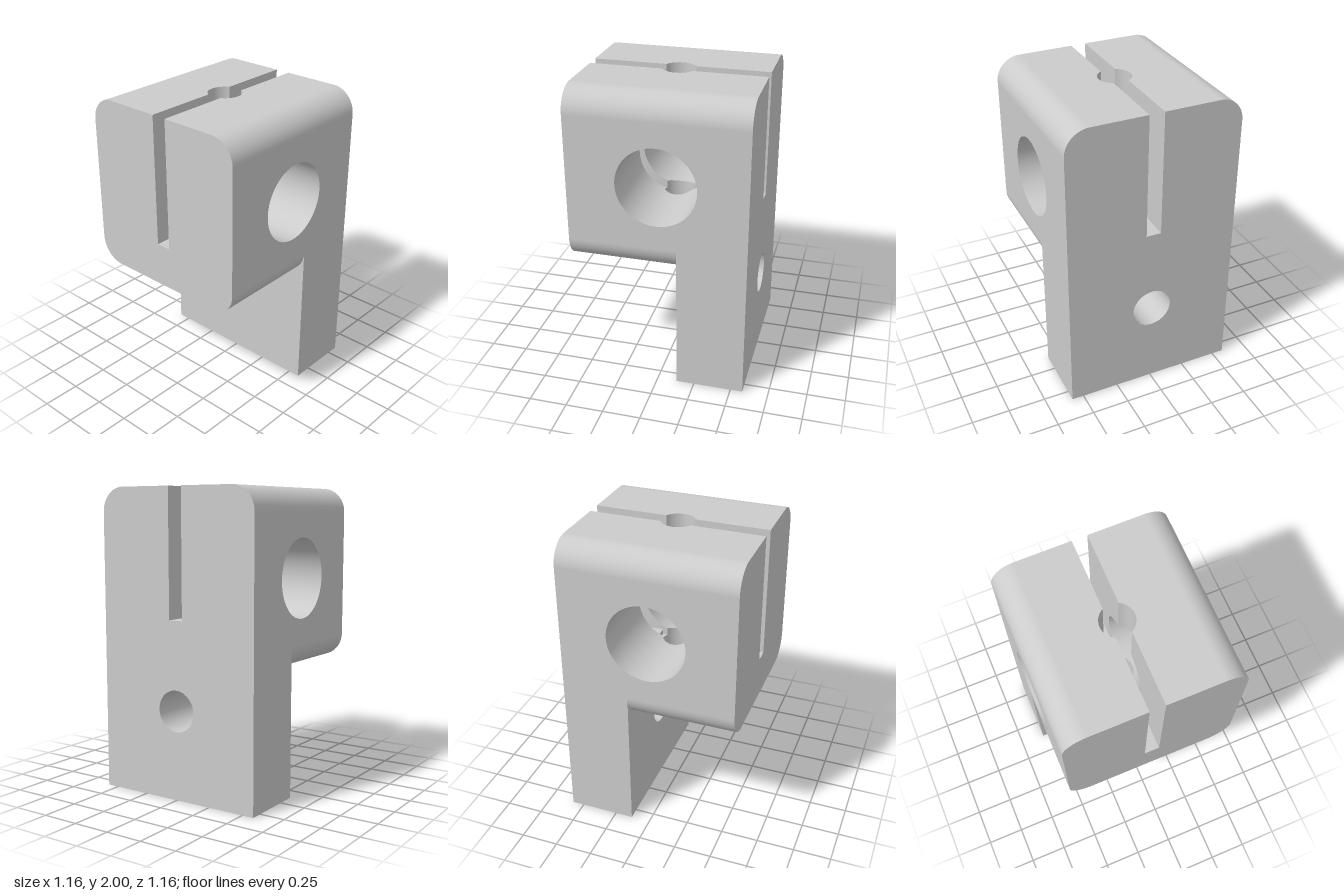
import * as THREE from 'three';

// Overall dimensions
const W = 0.58, TOP = 2, BLOCK_Y = 0.84, PLATE_Z = -0.13, ROUND = 0.16;
const SLOT = 0.05, SLOT_Y = 1.13, SLOT_BACK_Y = 1.165;
const CROSS_R = 0.26, CROSS_Y = 1.42;   // bore along x
const VERT_R = 0.11;                    // bore along y
const SCREW_R = 0.135, SCREW_Y = 0.585; // plate hole along z
const IN = W - ROUND, LOW = BLOCK_Y + ROUND, HIGH = TOP - ROUND;
const SEG = 64, PI = Math.PI;

const material = new THREE.MeshStandardMaterial({ color: 0xcccccc, side: THREE.DoubleSide });

// Outline from points [x, y] and arcs [cx, cy, r, from, to, clockwise]
function outline(...steps) {
  const s = new THREE.Shape();
  steps.forEach((p, i) => {
    if (p.length > 2) s.absarc(...p);
    else if (i === 0) s.moveTo(...p);
    else s.lineTo(...p);
  });
  return s;
}

function rect(x0, y0, x1, y1) {
  return outline([x0, y0], [x1, y0], [x1, y1], [x0, y1]);
}

function withHole(shape, x, y, r) {
  shape.holes.push(new THREE.Path().absarc(x, y, r, 0, 2 * PI, true));
  return shape;
}

// Flat face turned to look along a direction, then moved to its plane
const TURN = {
  front: [0, 0], back: [0, PI], right: [0, PI / 2], left: [0, -PI / 2],
  up: [-PI / 2, 0], down: [PI / 2, 0],
};
function face(shape, dir, x = 0, y = 0, z = 0) {
  const [rx, ry] = TURN[dir];
  return new THREE.ShapeGeometry(shape, SEG / 2).rotateX(rx).rotateY(ry).translate(x, y, z);
}

// Curved band between two edges; edge(angle) returns [pointA, pointB]
function band(from, to, edge) {
  const pos = [], idx = [];
  for (let i = 0; i <= SEG; i++) {
    const [a, b] = edge(from + (to - from) * i / SEG);
    pos.push(...a, ...b);
    if (i < SEG) {
      const k = 2 * i;
      idx.push(k, k + 1, k + 3, k, k + 3, k + 2);
    }
  }
  const g = new THREE.BufferGeometry();
  g.setAttribute('position', new THREE.Float32BufferAttribute(pos, 3));
  g.setIndex(idx);
  g.computeVertexNormals();
  return g;
}

export function createModel() {
  const model = new THREE.Group();
  const block = new THREE.Group(), plate = new THREE.Group();
  block.name = 'clampBlock';
  plate.name = 'mountingPlate';
  model.add(block, plate);

  const add = (parent, name, geometry) => {
    const m = new THREE.Mesh(geometry, material);
    m.name = name;
    parent.add(m);
    return m;
  };
  const addPair = (parent, name, geometry) => {
    add(parent, name + 'Left', geometry);
    add(parent, name + 'Right', geometry).scale.x = -1;
  };

  // Slotted front and back faces
  const slottedTop = floor => [
    [IN, HIGH, ROUND, 0, PI / 2, false], [SLOT, TOP], [SLOT, floor],
    [-SLOT, floor], [-SLOT, TOP], [-IN, HIGH, ROUND, PI / 2, PI, false],
  ];
  add(block, 'blockFront', face(outline(
    [-IN, BLOCK_Y], [IN, BLOCK_Y], [IN, LOW, ROUND, -PI / 2, 0, false],
    ...slottedTop(SLOT_Y), [-W, LOW], [-IN, LOW, ROUND, PI, 1.5 * PI, false]), 'front', 0, 0, W));
  add(plate, 'plateBack', face(withHole(outline(
    [-W, 0], [W, 0], ...slottedTop(SLOT_BACK_Y)), 0, SCREW_Y, SCREW_R), 'back', 0, 0, -W));

  // Plate front below the block, foot, and screw hole
  add(plate, 'plateFront', face(withHole(outline(
    [-W, 0], [W, 0], [W, LOW], [IN, LOW, ROUND, 0, -PI / 2, true],
    [-IN, BLOCK_Y], [-IN, LOW, ROUND, -PI / 2, -PI, true]), 0, SCREW_Y, SCREW_R), 'front', 0, 0, PLATE_Z));
  add(plate, 'plateFoot', face(rect(-W, -W, W, PLATE_Z), 'down'));
  add(plate, 'screwHole', band(0, 2 * PI, t => {
    const x = SCREW_R * Math.cos(t), y = SCREW_Y + SCREW_R * Math.sin(t);
    return [[x, y, -W], [x, y, PLATE_Z]];
  }));

  // Sides with the cross bore opening
  addPair(block, 'side', face(withHole(outline(
    [-W, LOW], [-PLATE_Z, LOW], [-PLATE_Z, 0], [W, 0], [W, HIGH], [-W, HIGH]),
    0, CROSS_Y, CROSS_R), 'right', W));

  // Rounded long edges
  const rounded = (cy, from, to, back) => band(from, to, t => {
    const x = IN + ROUND * Math.cos(t), y = cy + ROUND * Math.sin(t);
    return [[x, y, W], [x, y, back]];
  });
  addPair(block, 'topRound', rounded(HIGH, 0, PI / 2, -W));
  addPair(block, 'bottomRound', rounded(LOW, -PI / 2, 0, PLATE_Z));

  // Top halves notched by the vertical bore, and the underside
  const openAngle = Math.acos(SLOT / VERT_R), notch = VERT_R * Math.sin(openAngle);
  addPair(block, 'top', face(outline(
    [SLOT, -W], [IN, -W], [IN, W], [SLOT, W], [SLOT, notch],
    [0, 0, VERT_R, openAngle, -openAngle, true]), 'up', 0, TOP));
  add(block, 'underside', face(withHole(
    rect(-IN, PLATE_Z, IN, W), 0, 0, VERT_R), 'down', 0, BLOCK_Y));

  // Slot walls, split by the two bores
  const a = Math.acos(notch / CROSS_R);
  addPair(block, 'slotWallFront', face(outline(
    [notch, TOP], [W, TOP], [W, SLOT_Y], [notch, SLOT_Y],
    [0, CROSS_Y, CROSS_R, -a, a, false]), 'left', SLOT));
  addPair(block, 'slotWallBack', face(outline(
    [-notch, TOP], [-W, TOP], [-W, SLOT_BACK_Y], [PLATE_Z, SLOT_BACK_Y], [PLATE_Z, SLOT_Y],
    [-notch, SLOT_Y], [0, CROSS_Y, CROSS_R, PI + a, PI - a, true]), 'left', SLOT));

  // Slot floor with its small step at the plate
  const b = PI / 2 - openAngle;
  add(block, 'slotFloorFront', face(outline(
    [-SLOT, -W], [SLOT, -W], [SLOT, -notch],
    [0, 0, VERT_R, -b, -PI + b, true]), 'up', 0, SLOT_Y).copy(
    face(outline([-SLOT, -W], [SLOT, -W], [SLOT, -notch],
      [0, 0, VERT_R, -openAngle, -PI + openAngle, true]), 'up', 0, SLOT_Y)));
  add(block, 'slotFloorMiddle', face(outline(
    [SLOT, -PLATE_Z], [-SLOT, -PLATE_Z], [-SLOT, notch],
    [0, 0, VERT_R, PI - openAngle, openAngle, true]), 'up', 0, SLOT_Y));
  add(plate, 'slotStep', face(rect(-SLOT, SLOT_Y, SLOT, SLOT_BACK_Y), 'front', 0, 0, PLATE_Z));
  add(plate, 'slotFloorBack', face(rect(-SLOT, -PLATE_Z, SLOT, W), 'up', 0, SLOT_BACK_Y));

  // Cross bore, trimmed where the slot and vertical bore pass
  addPair(block, 'crossBore', band(0, 2 * PI, t => {
    const y = CROSS_Y + CROSS_R * Math.cos(t), z = CROSS_R * Math.sin(t);
    const inner = Math.max(SLOT, Math.sqrt(Math.max(0, VERT_R ** 2 - z * z)));
    return [[inner, y, z], [W, y, z]];
  }));

  // Vertical bore above, beside and below the cross bore
  const vertical = (from, to, high, low) => band(from, to, t => {
    const x = VERT_R * Math.cos(t), z = VERT_R * Math.sin(t);
    const h = Math.sqrt(CROSS_R ** 2 - z * z);
    return [[x, high(h), z], [x, low(h), z]];
  });
  addPair(block, 'upperBore', vertical(-openAngle, openAngle, () => TOP, h => CROSS_Y + h));
  addPair(block, 'middleBore', vertical(-openAngle, openAngle, h => CROSS_Y - h, () => SLOT_Y));
  add(block, 'lowerBore', vertical(0, 2 * PI, () => SLOT_Y, () => BLOCK_Y));

  return model;
}
